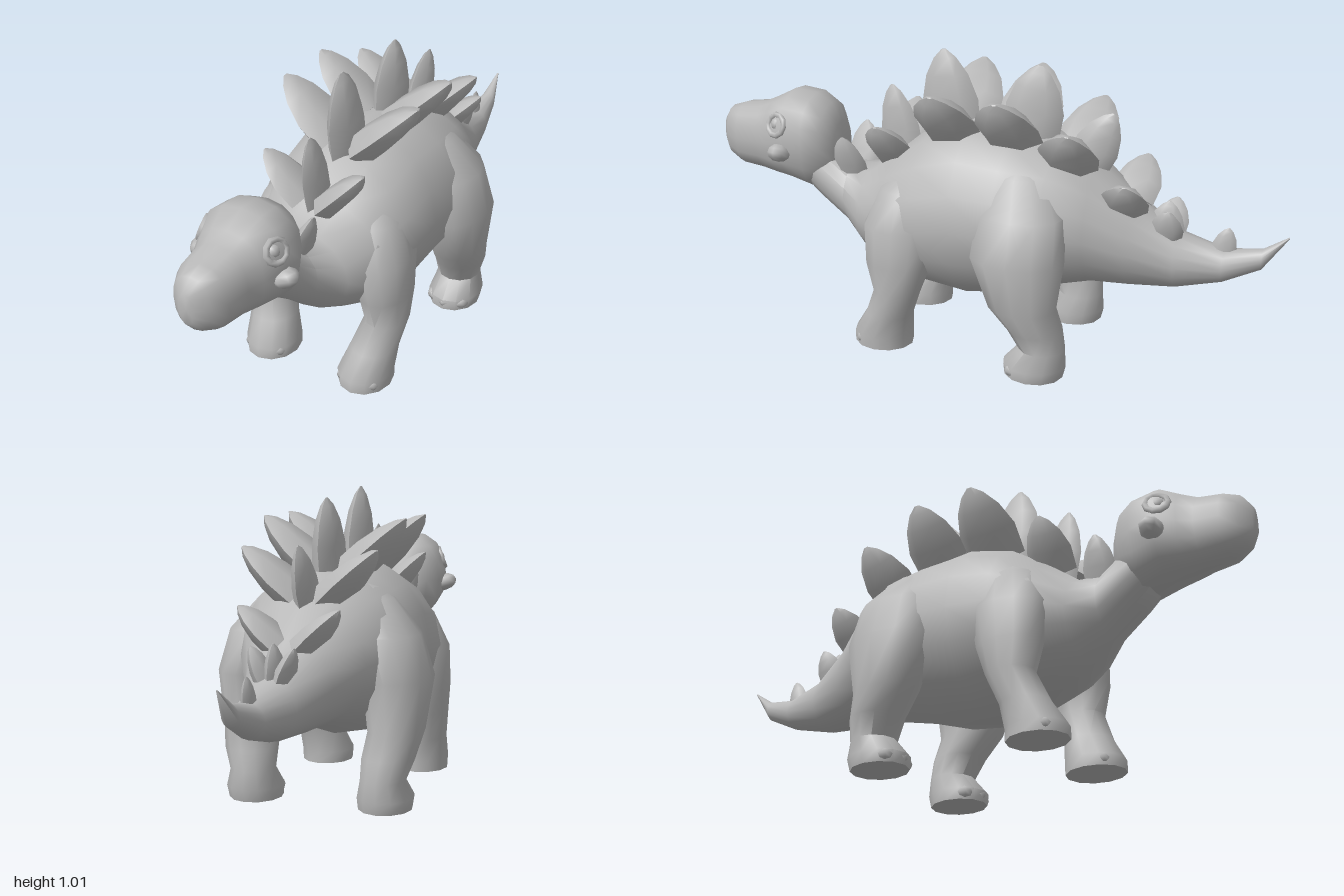
import * as THREE from 'three';
import { toCreasedNormals } from 'three/addons/utils/BufferGeometryUtils.js';

const V = (x, y, z) => new THREE.Vector3(x, y, z);
const X = V(1, 0, 0), Y = V(0, 1, 0), Z = V(0, 0, 1);

// Ring of n points around c; u x v points along the loft direction, p < 1 makes it boxier
function ring(c, u, v, ru, rv, n, p = 1) {
  const pw = (t) => Math.sign(t) * Math.abs(t) ** p;
  return Array.from({ length: n }, (_, i) => {
    const a = (i / n) * Math.PI * 2;
    return c.clone().addScaledVector(u, pw(Math.cos(a)) * ru).addScaledVector(v, pw(Math.sin(a)) * rv);
  });
}

// Closed skin over a list of rings, capped at both ends
function loft(rings, crease = 0.9) {
  const n = rings[0].length, pts = rings.flat(), index = [];
  for (let r = 0; r < rings.length - 1; r++) {
    for (let i = 0; i < n; i++) {
      const j = (i + 1) % n, a = r * n + i, b = r * n + j;
      index.push(a, b, b + n, a, b + n, a + n);
    }
  }
  const middle = (r) => r.reduce((s, q) => s.add(q), V(0, 0, 0)).divideScalar(n);
  const s = pts.length, last = (rings.length - 1) * n;
  pts.push(middle(rings[0]), middle(rings[rings.length - 1]));
  for (let i = 0; i < n; i++) {
    const j = (i + 1) % n;
    index.push(s, j, i, s + 1, last + i, last + j);
  }
  const g = new THREE.BufferGeometry().setFromPoints(pts);
  g.setIndex(index);
  return toCreasedNormals(g, crease);
}

// Sections along z: [z, centre y, half width, half height]
const alongZ = (rows, n, p) => loft(rows.map(([z, y, rx, ry]) => ring(V(0, y, z), X, Y, rx, ry, n, p)));

// Sections going up: [y, x, z, half width, half depth]
const alongY = (rows, side, n) =>
  loft(rows.map(([y, x, z, rx, rz]) => ring(V(side * x, y, z), Z, X, rz, rx, n)));

// Leaf-shaped back plate from base to tip, broad along the spine and thick at the root
function plateGeometry(base, tip, width, thick) {
  const dir = tip.clone().sub(base), w = dir.clone().normalize();
  const u = Z.clone().addScaledVector(w, -Z.dot(w)).normalize();
  const v = w.clone().cross(u);
  const steps = [[0, 0.95, 1.1], [0.4, 1, 1], [0.7, 0.75, 0.75], [0.9, 0.4, 0.4], [1, 0.08, 0.05]];
  return loft(steps.map(([t, k, q]) =>
    ring(base.clone().addScaledVector(dir, t), u, v, width * k, thick * q, 6)), 0.8);
}

export function createModel() {
  const group = new THREE.Group();
  const hide = new THREE.MeshStandardMaterial({ color: 0xb8b8b8 });
  hide.name = 'grey hide';
  const add = (name, geometry) => {
    const m = new THREE.Mesh(geometry, hide);
    m.name = name;
    group.add(m);
    return m;
  };

  // Tail, trunk and neck in one skin
  add('body', alongZ([
    [-1, 0.51, 0.003, 0.003], [-0.92, 0.425, 0.028, 0.035], [-0.8, 0.385, 0.055, 0.055],
    [-0.65, 0.385, 0.09, 0.095], [-0.5, 0.43, 0.145, 0.15], [-0.38, 0.48, 0.21, 0.2],
    [-0.25, 0.5, 0.275, 0.25], [-0.1, 0.485, 0.295, 0.288], [0.05, 0.48, 0.285, 0.308],
    [0.2, 0.465, 0.28, 0.272], [0.32, 0.445, 0.245, 0.21], [0.42, 0.43, 0.175, 0.145],
    [0.5, 0.465, 0.115, 0.11], [0.6, 0.54, 0.11, 0.11], [0.68, 0.6, 0.1, 0.1],
  ], 16));

  // Head tapering into the muzzle
  add('head', alongZ([
    [0.55, 0.62, 0.07, 0.09], [0.585, 0.64, 0.115, 0.135], [0.64, 0.64, 0.145, 0.165],
    [0.72, 0.655, 0.15, 0.157], [0.79, 0.64, 0.122, 0.135], [0.84, 0.632, 0.102, 0.12],
    [0.92, 0.63, 0.093, 0.11], [0.97, 0.633, 0.065, 0.09], [1, 0.63, 0.025, 0.05],
  ], 16, 0.85));

  const frontLeg = [
    [0, 0.182, 0.325, 0.09, 0.103], [0.04, 0.182, 0.325, 0.092, 0.103], [0.12, 0.197, 0.295, 0.08, 0.083],
    [0.22, 0.22, 0.255, 0.073, 0.082], [0.32, 0.215, 0.25, 0.083, 0.115],
    [0.45, 0.195, 0.24, 0.1, 0.135], [0.57, 0.155, 0.22, 0.09, 0.11], [0.65, 0.11, 0.2, 0.06, 0.06],
  ];
  const hindLeg = [
    [0, 0.225, -0.235, 0.088, 0.1], [0.04, 0.227, -0.238, 0.093, 0.107], [0.1, 0.225, -0.262, 0.075, 0.078],
    [0.17, 0.237, -0.242, 0.088, 0.092], [0.25, 0.25, -0.2, 0.092, 0.115],
    [0.42, 0.25, -0.18, 0.112, 0.16], [0.56, 0.205, -0.18, 0.115, 0.15],
    [0.67, 0.14, -0.16, 0.085, 0.1], [0.73, 0.09, -0.15, 0.04, 0.05],
  ];
  // Side plates: base x, y, z, tip x, y, z, half width
  const sidePlates = [
    [0.035, 0.53, 0.49, 0.1, 0.69, 0.5, 0.06], [0.045, 0.63, 0.325, 0.18, 0.77, 0.34, 0.08],
    [0.055, 0.74, 0.11, 0.245, 0.918, 0.115, 0.108], [0.055, 0.74, -0.1, 0.245, 0.918, -0.1, 0.108],
    [0.055, 0.68, -0.29, 0.225, 0.835, -0.33, 0.1], [0.04, 0.55, -0.475, 0.165, 0.67, -0.5, 0.08],
    [0.025, 0.46, -0.61, 0.07, 0.57, -0.625, 0.055],
  ];

  for (const side of [1, -1]) {
    const label = side > 0 ? 'left' : 'right';
    add(`${label}FrontLeg`, alongY(frontLeg, side, 12));
    add(`${label}HindLeg`, alongY(hindLeg, side, 12));

    // Three low toes on each foot
    for (const [x, z] of [[0.182, 0.39], [0.225, -0.165]]) {
      for (const k of [-1, 0, 1]) {
        const toe = add(`${label}Toe`, new THREE.SphereGeometry(1, 8, 6));
        toe.scale.set(0.03, 0.026, 0.036);
        toe.position.set(side * x + k * 0.05, 0.026, z - Math.abs(k) * 0.02);
      }
    }

    for (const [bx, by, bz, tx, ty, tz, w] of sidePlates)
      add(`${label}Plate`, plateGeometry(V(side * bx, by, bz), V(side * tx, ty, tz), w, w * 0.5));

    // Sunken eye with a low rim, and the rounded knob on the cheek
    const rim = add(`${label}EyeRim`, new THREE.TorusGeometry(0.036, 0.011, 6, 10));
    rim.position.set(side * 0.127, 0.715, 0.735);
    rim.rotation.set(-0.35, side * 1.25, 0, 'YXZ');
    const eye = add(`${label}Eye`, new THREE.SphereGeometry(0.024, 10, 8));
    eye.position.set(side * 0.115, 0.715, 0.735);
    const knob = add(`${label}CheekKnob`, new THREE.SphereGeometry(1, 8, 6));
    knob.scale.set(0.05, 0.032, 0.04);
    knob.position.set(side * 0.142, 0.622, 0.72);
    knob.rotation.z = side * 0.3;
  }

  // Centre plates: base z, y, tip z, y, half width
  for (const [bz, by, tz, ty, w] of [
    [0.31, 0.62, 0.355, 0.865, 0.07], [0.13, 0.72, 0.165, 1.007, 0.1], [-0.14, 0.74, -0.17, 0.985, 0.1],
    [-0.33, 0.66, -0.42, 0.85, 0.075], [-0.6, 0.44, -0.615, 0.58, 0.06], [-0.79, 0.41, -0.81, 0.515, 0.04],
  ]) add('centrePlate', plateGeometry(V(0, by, bz), V(0, ty, tz), w, w * 0.45));

  return group;
}
